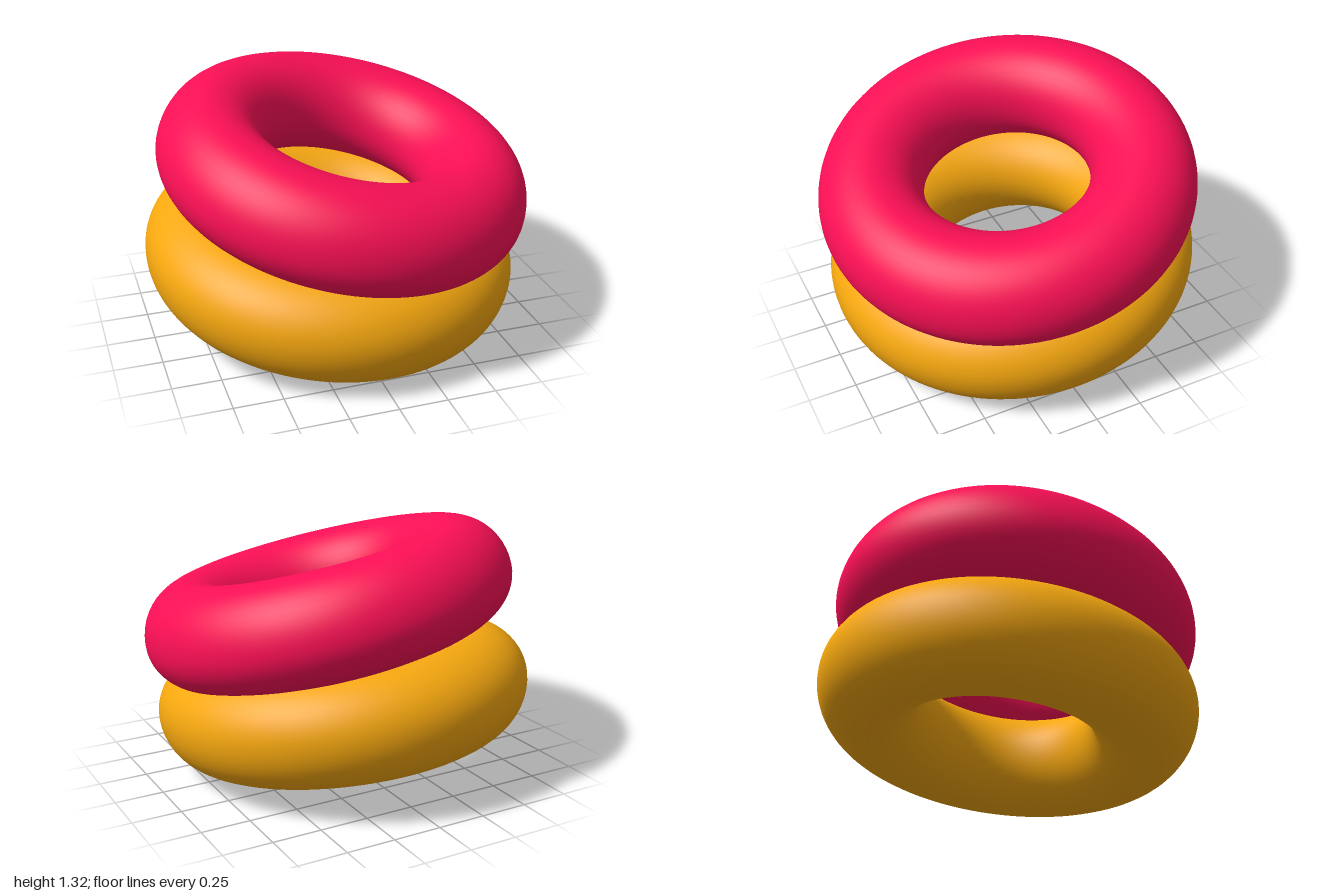
import * as THREE from 'three';
import { mergeVertices } from 'three/addons/utils/BufferGeometryUtils.js';

// Soft ring lying flat, with separate tube heights above and below its middle plane
function ringGeometry(radius, tube, above, below) {
  const torus = new THREE.TorusGeometry(radius, tube, 48, 128);
  torus.rotateX(-Math.PI / 2);
  torus.deleteAttribute('uv');
  torus.deleteAttribute('normal');
  const pos = torus.attributes.position;
  for (let i = 0; i < pos.count; i++) {
    const y = pos.getY(i);
    pos.setY(i, y * (y > 0 ? above : below) / tube);
  }
  const geometry = mergeVertices(torus, 1e-5);
  geometry.computeVertexNormals();
  return geometry;
}

function ring(name, color, { radius, tube, above, below, centre, axis }) {
  const mesh = new THREE.Mesh(
    ringGeometry(radius, tube, above, below),
    new THREE.MeshStandardMaterial({ color })
  );
  mesh.name = name;
  mesh.position.set(...centre);
  // Tilt the ring so its axis leans forward and sideways
  mesh.quaternion.setFromUnitVectors(
    new THREE.Vector3(0, 1, 0),
    new THREE.Vector3(...axis).normalize()
  );
  return mesh;
}

export function createModel() {
  const group = new THREE.Group();
  group.name = 'stackedRings';

  // Lower ring, slightly flattened where the upper one rests on it
  group.add(ring('lowerRing', 0xf5a70f, {
    radius: 0.705, tube: 0.275, above: 0.26, below: 0.29,
    centre: [-0.025, 0.395, -0.02], axis: [0.07, 1, 0.13],
  }));

  // Upper ring, leaning further toward the front left
  group.add(ring('upperRing', 0xfa0f55, {
    radius: 0.7, tube: 0.27, above: 0.29, below: 0.245,
    centre: [0.035, 0.862, 0.03], axis: [0.174, 1, 0.174],
  }));

  return group;
}
